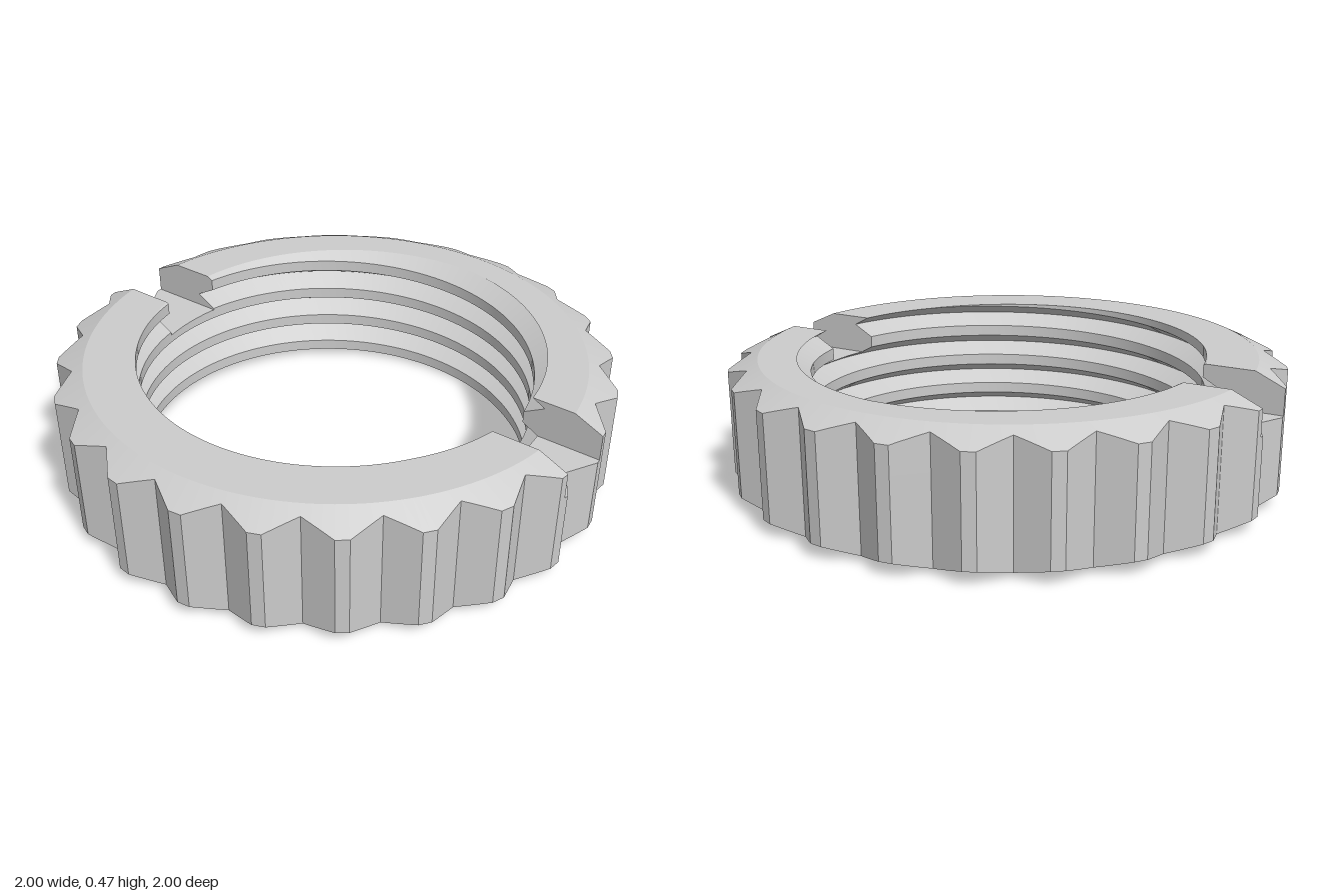
import * as THREE from 'three';
import { toCreasedNormals } from 'three/addons/utils/BufferGeometryUtils.js';

const RAD = Math.PI / 180, TAU = Math.PI * 2;
const HEIGHT = 0.475, SLOT_Y = 0.33, SLOT_HALF = 0.125;
const BORE = 0.716, DEPTH = 0.075, GROOVE = 0.084, PITCH = 0.127;
const RIM = 0.9, TIP = 1.006, NOTCH = 0.94, CHAMFER = 0.46;
// Corners of one 15 degree tooth: notch, flat tip, next notch
const TOOTH = [[0, NOTCH], [6.2, TIP], [8.8, TIP], [15, NOTCH]];
const STEPS = [0, 2, 4, 6.2, 7.5, 8.8, 11, 13];

const clamp = THREE.MathUtils.clamp;
const at = (r, y, a) => new THREE.Vector3(r * Math.cos(a), y, -r * Math.sin(a));

// Radius of the straight-sided knurl at angle a
function outerRadius(a) {
  const d = THREE.MathUtils.euclideanModulo(a / RAD, 15);
  const i = d < 6.2 ? 0 : d < 8.8 ? 1 : 2;
  const [a0, r0] = TOOTH[i], [a1, r1] = TOOTH[i + 1];
  return r0 * r1 * Math.sin((a1 - a0) * RAD) /
    (r0 * Math.sin((d - a0) * RAD) + r1 * Math.sin((a1 - d) * RAD));
}

// Right-handed V groove
const rootHeight = a => HEIGHT + (a / TAU - 85 / 360) * PITCH;
function boreRadius(a, y) {
  const t = (y - rootHeight(a)) / PITCH;
  const d = Math.abs(t - Math.round(t)) * PITCH;
  return BORE + DEPTH * Math.max(0, 1 - d / (GROOVE / 2));
}

// A point whose angle is held by limit(angle, radius), e.g. at the slot wall
function solve(a, limit, radius, height) {
  let b = a, r, y;
  for (let i = 0; i < 6; i++) {
    y = height(b);
    r = radius(b, y);
    b = limit(a, r);
  }
  return at(r, y, b);
}

// Thread profile from lo to hi
function borePath(a, lo, hi, limit) {
  const heights = [() => lo];
  for (let k = -7; k <= 2; k++)
    for (const s of [-1, 0, 1])
      heights.push(b => clamp(rootHeight(b) + k * PITCH + s * GROOVE / 2, lo, hi));
  heights.push(() => hi);
  return heights.map(h => solve(a, limit, boreRadius, h));
}

const bevel = b => (outerRadius(b) - RIM) * CHAMFER;

function lowerPath(a) {
  const free = b => b;
  return [
    solve(a, free, outerRadius, () => SLOT_Y),
    solve(a, free, outerRadius, bevel),
    at(RIM, 0, a),
    ...borePath(a, 0, SLOT_Y, free),
  ];
}

function upperPath(a, limit) {
  return [
    ...borePath(a, SLOT_Y, HEIGHT, limit),
    solve(a, limit, () => RIM, () => HEIGHT),
    solve(a, limit, outerRadius, b => HEIGHT - bevel(b)),
    solve(a, limit, outerRadius, () => SLOT_Y),
  ];
}

// Column angles for a run of whole teeth, ends included
function columns(startTooth, count) {
  const list = [];
  for (let i = startTooth; i < startTooth + count; i++)
    for (const s of STEPS) list.push((i * 15 + s) * RAD);
  list.push((startTooth + count) * 15 * RAD);
  return list;
}

function pushTriangle(out, a, b, c) {
  const area = b.clone().sub(a).cross(c.clone().sub(a)).length();
  if (area > 1e-8) for (const p of [a, b, c]) out.push(p.x, p.y, p.z);
}

function loft(sections, out = []) {
  for (let i = 0; i + 1 < sections.length; i++) {
    const s = sections[i], t = sections[i + 1];
    for (let j = 0; j + 1 < s.length; j++) {
      pushTriangle(out, s[j], s[j + 1], t[j + 1]);
      pushTriangle(out, s[j], t[j + 1], t[j]);
    }
  }
  return out;
}

// Flat slot wall closing a section, facing along facing * z
function cap(section, facing, out) {
  const pts = section.filter((p, i) => i === 0 || p.distanceTo(section[i - 1]) > 1e-5);
  const flat = pts.map(p => new THREE.Vector2(p.x, p.y));
  for (const [i, j, k] of THREE.ShapeUtils.triangulateShape(flat, [])) {
    const turn = flat[j].clone().sub(flat[i]).cross(flat[k].clone().sub(flat[i]));
    if (turn * facing > 0) pushTriangle(out, pts[i], pts[j], pts[k]);
    else pushTriangle(out, pts[i], pts[k], pts[j]);
  }
}

export function createModel() {
  const group = new THREE.Group();
  const material = new THREE.MeshStandardMaterial({ color: 0xcccccc });
  const add = (name, positions) => {
    const geometry = new THREE.BufferGeometry();
    geometry.setAttribute('position', new THREE.Float32BufferAttribute(positions, 3));
    const mesh = new THREE.Mesh(toCreasedNormals(geometry, 0.3), material);
    mesh.name = name;
    group.add(mesh);
  };

  // Continuous ring below the slots
  add('lowerRing', loft(columns(0, 24).map(lowerPath)));

  for (const side of [0, 1]) {
    const turn = side * Math.PI;
    const slotAngle = r => Math.asin(SLOT_HALF / r);

    // Half ring between the two slots
    const between = (a, r) => clamp(a, turn + slotAngle(r), turn + Math.PI - slotAngle(r));
    const sections = columns(side * 12, 12).map(a => upperPath(a, between));
    const triangles = loft(sections);
    const facing = side ? -1 : 1;
    cap(sections[0], facing, triangles);
    cap(sections[sections.length - 1], facing, triangles);
    add(side ? 'frontUpperHalf' : 'backUpperHalf', triangles);

    // Floor of the slot
    const within = (a, r) => clamp(a, turn - slotAngle(r), turn + slotAngle(r));
    const floor = columns(side * 12 - 1, 2).map(a => [
      solve(a, within, boreRadius, () => SLOT_Y),
      solve(a, within, outerRadius, () => SLOT_Y),
    ]);
    add(side ? 'rightSlotFloor' : 'leftSlotFloor', loft(floor));
  }
  return group;
}
